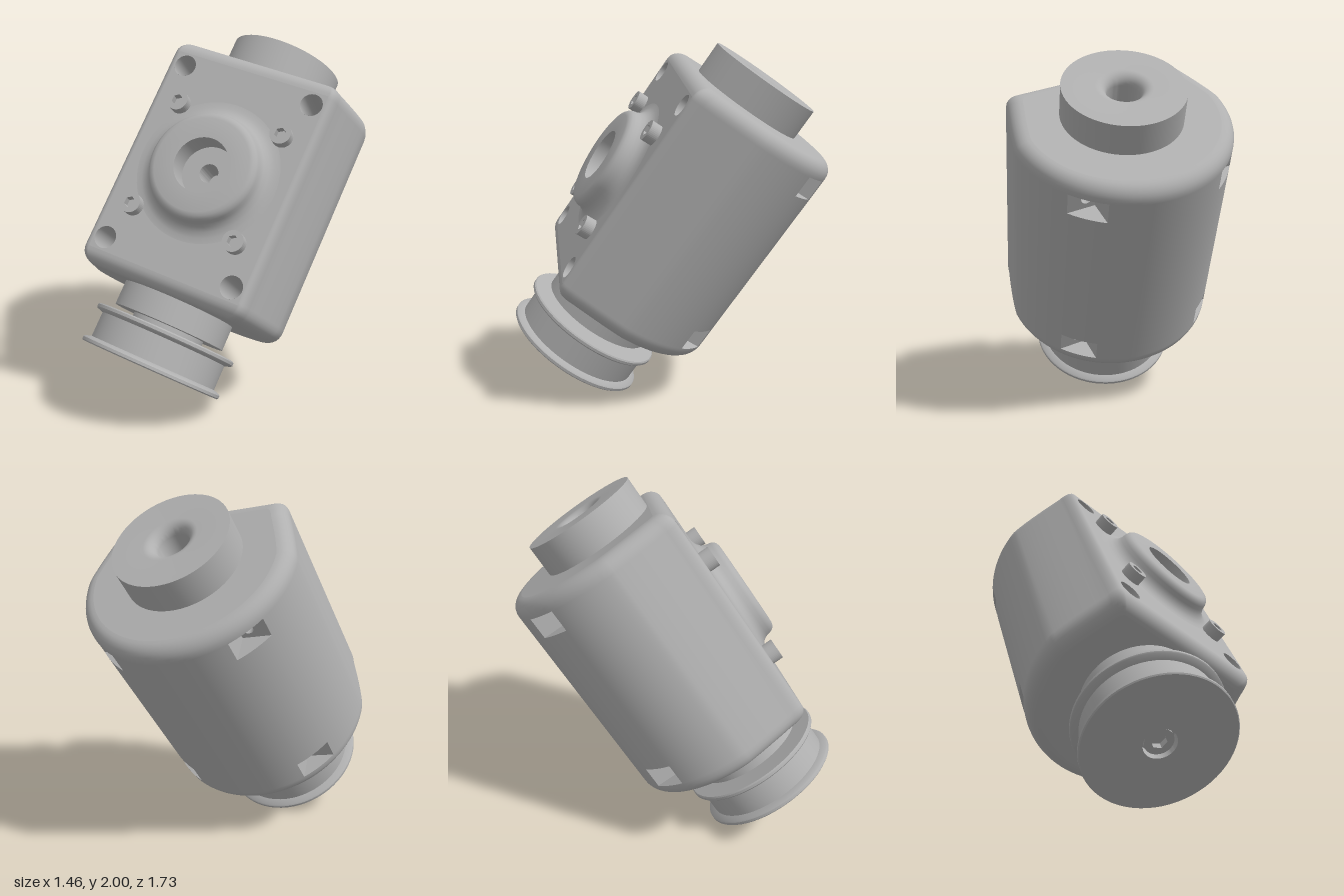
import * as THREE from 'three';
import { toCreasedNormals } from 'three/addons/utils/BufferGeometryUtils.js';

const steel = new THREE.MeshStandardMaterial({ color: 0xb0b0b0, side: THREE.DoubleSide });
steel.name = 'machined grey';

const R = 0.595, FRONT = 0.41, FLAT = 0.455; // back radius, front plane, half width of the flat front
const HALF = 0.68, FILLET = 0.08, STRAIGHT = HALF - FILLET;
const BOLT_X = 0.386, BOLT_Y = 0.527; // corner bolt positions
const NOTCH_IN = 0.32, NOTCH_OUT = 0.474, NOTCH_H = 0.062;
const T1 = Math.acos(NOTCH_OUT / R), T2 = Math.acos(NOTCH_IN / R), FLOOR = -R * Math.sin(T1);

function add(parent, name, geometry) {
  const mesh = new THREE.Mesh(geometry, steel);
  mesh.name = name;
  parent.add(mesh);
  return mesh;
}

// Turned part around y, with sharp edges kept
function turned(pairs, segments = 64) {
  const g = new THREE.LatheGeometry(pairs.map(([r, y]) => new THREE.Vector2(r, y)), segments);
  return toCreasedNormals(g, 0.6);
}

function circlePath(x, y, r) {
  return new THREE.Path().absarc(x, y, r, 0, Math.PI * 2, true);
}

// Cross-section of the housing: front corner, tapered side, then round back
function housingProfile() {
  const V = (x, y) => new THREE.Vector2(x, y);
  const half = [
    ...new THREE.QuadraticBezierCurve(V(FLAT, FRONT), V(0.49, FRONT), V(0.505, 0.33)).getPoints(8),
    ...new THREE.QuadraticBezierCurve(V(0.505, 0.33), V(0.58, 0.1), V(R, 0)).getPoints(8).slice(1),
  ];
  let notchStart = 0, notchEnd = 0;
  const arc = (a, b, n) => {
    for (let i = 1; i <= n; i++) {
      const t = a + (b - a) * i / n;
      half.push(V(R * Math.cos(t), -R * Math.sin(t)));
    }
  };
  arc(0, T1, 10);
  notchStart = half.length - 1;
  arc(T1, T2, 6);
  notchEnd = half.length - 1;
  arc(T2, Math.PI / 2, 9);
  const mirrored = half.slice(0, -1).reverse().map(p => V(-p.x, p.y));
  return { points: [...half, ...mirrored], notchStart, notchEnd };
}

function inset(points, t) {
  const mid = (FRONT - R) / 2, depth = (FRONT + R) / 2;
  return points.map(p => new THREE.Vector2(p.x * (1 - t / R), mid + (p.y - mid) * (1 - t / depth)));
}

// Skin of the housing, open at the front panel and at the bolt notches
function housingSkin({ points, notchStart, notchEnd }) {
  const rows = [], n = points.length, steps = 7;
  for (let i = 0; i <= steps; i++) {
    const a = (Math.PI / 2) * (1 - i / steps);
    rows.push([-STRAIGHT - FILLET * Math.sin(a), FILLET * (1 - Math.cos(a))]);
  }
  for (const s of [-1, 1])
    for (const d of [-s, s]) rows.push([s * BOLT_Y + d * s * NOTCH_H, 0]);
  const middle = rows.splice(steps + 1).sort((p, q) => p[0] - q[0]);
  const top = rows.slice().reverse().map(([y, t]) => [-y, t]);
  const all = [...rows, ...middle, ...top];
  const position = [], index = [];
  for (const [y, t] of all) for (const p of inset(points, t)) position.push(p.x, y, p.y);
  for (let j = 0; j < all.length - 1; j++) {
    const y = (all[j][0] + all[j + 1][0]) / 2;
    const notchRow = Math.abs(Math.abs(y) - BOLT_Y) < NOTCH_H * 0.9;
    for (let i = 0; i < n; i++) {
      const m = Math.min(i, n - 2 - i);
      if (i === n - 1 && Math.abs(y) < STRAIGHT) continue;
      if (notchRow && i < n - 1 && m >= notchStart && m < notchEnd) continue;
      const k = (i + 1) % n, a = j * n + i, b = j * n + k;
      index.push(a, b, b + n, a, b + n, a + n);
    }
  }
  const g = new THREE.BufferGeometry();
  g.setAttribute('position', new THREE.Float32BufferAttribute(position, 3));
  g.setIndex(index);
  g.computeVertexNormals();
  return g;
}

// Socket head screw along z, its base at z = 0
function screw(name, r, h) {
  const group = new THREE.Group();
  group.name = name;
  const head = new THREE.Shape().absarc(0, 0, r, 0, Math.PI * 2);
  const hex = [];
  for (let i = 0; i < 6; i++) {
    const a = i * Math.PI / 3 + Math.PI / 6;
    hex.push(new THREE.Vector2(Math.cos(a) * r * 0.55, Math.sin(a) * r * 0.55));
  }
  head.holes.push(new THREE.Path(hex));
  add(group, 'screwHead', new THREE.ExtrudeGeometry(head, { depth: h, bevelEnabled: false, curveSegments: 20 }));
  add(group, 'socketFloor', new THREE.CircleGeometry(r * 0.6, 24)).position.z = h * 0.25;
  return group;
}

// Milled pocket at the back with a bolt bore in its floor
function notch() {
  const group = new THREE.Group();
  group.name = 'boltNotch';
  const floor = new THREE.Shape([
    new THREE.Vector2(NOTCH_IN, -NOTCH_H), new THREE.Vector2(NOTCH_OUT, -NOTCH_H),
    new THREE.Vector2(NOTCH_OUT, NOTCH_H), new THREE.Vector2(NOTCH_IN, NOTCH_H)]);
  floor.holes.push(circlePath(BOLT_X - 0.02, 0, 0.033));
  add(group, 'notchFloor', new THREE.ShapeGeometry(floor).rotateY(0)).position.z = FLOOR;
  const bore = add(group, 'notchBore', turned([[0.033, 0], [0.033, 0.12], [0, 0.12]], 20).rotateX(Math.PI / 2));
  bore.position.set(BOLT_X - 0.02, 0, FLOOR);
  const backZ = -R * Math.sin(T2);
  const wall = add(group, 'notchWall', new THREE.PlaneGeometry(FLOOR - backZ, 2 * NOTCH_H).rotateY(Math.PI / 2));
  wall.position.set(NOTCH_IN, 0, (FLOOR + backZ) / 2);
  const end = [new THREE.Vector2(NOTCH_IN, FLOOR)];
  for (let i = 0; i <= 6; i++) {
    const t = T1 + (T2 - T1) * i / 6;
    end.push(new THREE.Vector2(R * Math.cos(t), -R * Math.sin(t)));
  }
  for (const s of [-1, 1])
    add(group, 'notchEnd', new THREE.ShapeGeometry(new THREE.Shape(end)).rotateX(Math.PI / 2)).position.y = s * NOTCH_H;
  return group;
}

export function createModel() {
  const model = new THREE.Group();
  model.name = 'tiltedHousing';
  const unit = new THREE.Group();
  unit.name = 'housingAssembly';
  model.add(unit);

  // Housing
  const profile = housingProfile();
  add(unit, 'housingSkin', housingSkin(profile));
  const rim = inset(profile.points, FILLET);
  for (const s of [-1, 1]) {
    const cap = new THREE.Shape(rim.map(p => new THREE.Vector2(p.x, -s * p.y)));
    cap.holes.push(circlePath(0, 0, 0.2));
    add(unit, s > 0 ? 'topCap' : 'bottomCap', new THREE.ShapeGeometry(cap, 32).rotateX(-s * Math.PI / 2)).position.y = s * HALF;
  }
  const panel = new THREE.Shape([[-1, -1], [1, -1], [1, 1], [-1, 1]].map(([x, y]) => new THREE.Vector2(x * FLAT, y * STRAIGHT)));
  panel.holes.push(circlePath(0, 0, 0.25));

  // Corner bores, back notches and front screws
  for (const sx of [-1, 1]) for (const sy of [-1, 1]) {
    panel.holes.push(circlePath(sx * BOLT_X, sy * BOLT_Y, 0.062));
    const bore = add(unit, 'cornerBore', turned([[0, -0.05], [0.062, -0.05], [0.062, FRONT]], 32).rotateX(Math.PI / 2));
    bore.position.set(sx * BOLT_X, sy * BOLT_Y, 0);
    const pocket = notch();
    pocket.position.y = sy * BOLT_Y;
    pocket.scale.x = sx;
    unit.add(pocket);
    const cap = screw('frontScrew', 0.058, 0.06);
    cap.position.set(sx * 0.312, sy * 0.31, FRONT);
    unit.add(cap);
  }
  add(unit, 'frontPanel', new THREE.ShapeGeometry(panel, 24)).position.z = FRONT;

  // Front boss with stepped bore
  add(unit, 'frontBoss', turned([
    [0.4, 0.41], [0.37, 0.413], [0.34, 0.424], [0.318, 0.443], [0.306, 0.468], [0.302, 0.49], [0.294, 0.508],
    [0.28, 0.521], [0.26, 0.527], [0.151, 0.527], [0.151, 0.38], [0.053, 0.38], [0.053, 0.2], [0, 0.2],
  ]).rotateX(Math.PI / 2));

  // Top collar with rounded bore lip
  const lip = [];
  for (let i = 0; i <= 8; i++) {
    const a = i / 8 * Math.PI / 2;
    lip.push([0.15 - 0.06 * Math.sin(a), 0.8 + 0.06 * Math.cos(a)]);
  }
  add(unit, 'topCollar', turned([[0.325, 0.66], [0.325, 0.86], ...lip, [0.09, 0.55], [0, 0.55]]));

  // Lower neck and flanged pulley
  add(unit, 'pulley', turned([
    [0, -1.01], [0.09, -1.01], [0.09, -1.074], [0.405, -1.074], [0.411, -1.068], [0.411, -1.053], [0.405, -1.046],
    [0.37, -1.035], [0.37, -0.893], [0.405, -0.882], [0.411, -0.875], [0.411, -0.86], [0.405, -0.853],
    [0.21, -0.853], [0.21, -0.82], [0.325, -0.82], [0.325, -0.66],
  ]));
  const axleScrew = screw('axleScrew', 0.078, 0.045);
  axleScrew.rotation.x = Math.PI / 2;
  axleScrew.position.y = -1.01;
  unit.add(axleScrew);

  // Tilt of the whole assembly
  const up = new THREE.Vector3(0.258, 0.818, -0.514).normalize();
  const side = new THREE.Vector3(0.966, -0.212, 0.148);
  side.addScaledVector(up, -side.dot(up)).normalize();
  const front = side.clone().cross(up);
  unit.setRotationFromMatrix(new THREE.Matrix4().makeBasis(side, up, front));
  unit.position.set(-0.008, 1.117, -0.035);
  return model;
}
